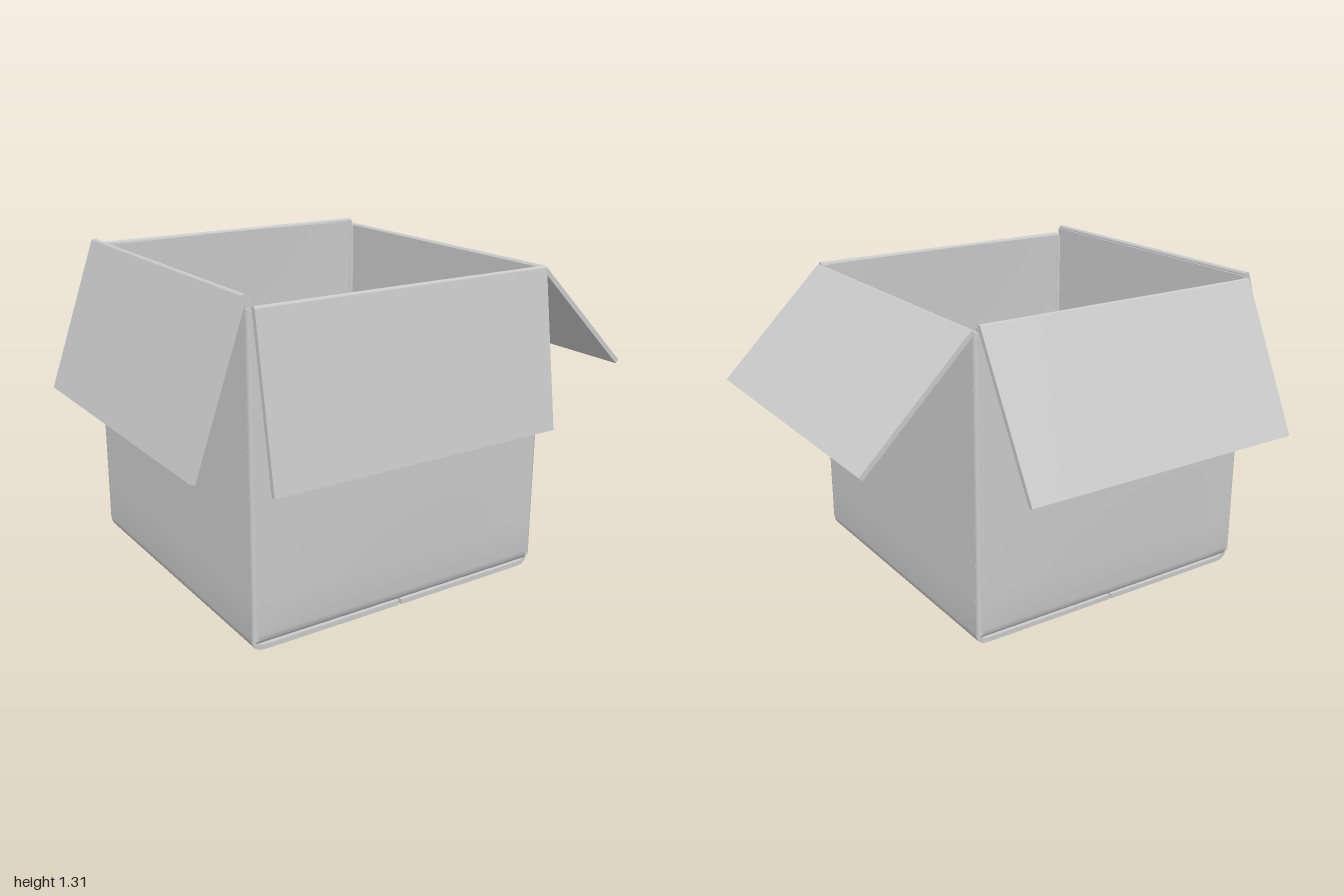
import * as THREE from 'three';
import { toCreasedNormals } from 'three/addons/utils/BufferGeometryUtils.js';

const T = 0.02; // board thickness
const HALF = 0.65; // box centre to middle of a wall
const material = new THREE.MeshStandardMaterial({ color: 0xcccccc });

function addMesh(parent, name, geometry) {
  const mesh = new THREE.Mesh(geometry, material);
  mesh.name = name;
  parent.add(mesh);
  return mesh;
}

// Board that follows a centreline of [outward, up] points, extruded to a width.
function board(points, halfWidth, bend) {
  const path = points.map(([u, y]) => new THREE.Vector2(u, y));
  const offset = (side) => path.map((p, i) => {
    const a = path[Math.max(i - 1, 0)];
    const b = path[Math.min(i + 1, path.length - 1)];
    const d = b.clone().sub(a).normalize();
    return new THREE.Vector2(p.x - d.y * side, p.y + d.x * side);
  });
  const outline = [...offset(T / 2), ...offset(-T / 2).reverse()];
  const geometry = new THREE.ExtrudeGeometry(new THREE.Shape(outline), {
    depth: 2 * halfWidth, steps: 10, bevelEnabled: false,
  });
  geometry.translate(0, 0, -halfWidth);
  const pos = geometry.attributes.position;
  const v = new THREE.Vector3();
  for (let i = 0; i < pos.count; i++) {
    bend(v.fromBufferAttribute(pos, i));
    pos.setXYZ(i, v.x, v.y, v.z);
  }
  return toCreasedNormals(geometry, 0.6);
}

// One side: wall with folded floor panel, hinge crease and open top flap.
function makeSide(s) {
  const side = new THREE.Group();
  side.name = s.name + 'Side';
  side.rotation.y = s.turn;

  const points = [[0.005, s.floor], [0.6, s.floor]];
  for (let i = 1; i <= 4; i++) { // rounded fold at the floor
    const a = (i / 4) * Math.PI / 2;
    points.push([HALF - 0.035 + 0.035 * Math.sin(a), s.floor + 0.04 * (1 - Math.cos(a))]);
  }
  for (let i = 1; i <= 8; i++) {
    points.push([HALF, 0.07 + (s.top - 0.07) * i / 8]);
  }
  addMesh(side, s.name + 'WallAndFloor', board(points, 0.643, (v) => {
    const across = Math.cos(v.z / 0.643 * Math.PI / 2);
    if (v.x > 0.62) v.x += s.bulge * across * Math.sin(Math.PI * Math.min(1, v.y / s.top));
    if (v.y > 1) v.y += s.bow * across;
  }));

  // Flap, slightly narrower at its free edge
  const [hu, hy] = s.hinge;
  addMesh(side, s.name + 'Flap', board([s.hinge, s.end], s.flapHalf, (v) => {
    const t = (hy - v.y) / (hy - s.end[1]);
    v.z *= 1 - s.taper * t;
  }));
  const hinge = addMesh(side, s.name + 'Hinge',
    new THREE.CylinderGeometry(0.012, 0.012, 2 * s.flapHalf, 10));
  hinge.rotation.x = Math.PI / 2;
  hinge.position.set(hu - 0.002, hy - 0.002, 0);
  return side;
}

export function createModel() {
  const model = new THREE.Group();
  model.name = 'openBox';
  const box = new THREE.Group();
  box.name = 'box';
  box.position.set(-0.12, 0, 0.1);
  model.add(box);

  const sides = [
    { name: 'left', turn: 0, floor: 0.01, top: 1.26, bulge: 0, bow: 0,
      hinge: [0.66, 1.257], end: [1.112, 0.812], flapHalf: 0.645, taper: 0 },
    { name: 'right', turn: Math.PI, floor: 0.01, top: 1.295, bulge: 0, bow: 0,
      hinge: [0.662, 1.3], end: [0.87, 0.695], flapHalf: 0.645, taper: 0 },
    { name: 'front', turn: -Math.PI / 2, floor: 0.03, top: 1.262, bulge: 0.012, bow: 0.004,
      hinge: [0.667, 1.262], end: [0.765, 0.635], flapHalf: 0.642, taper: 0.012 },
    { name: 'back', turn: Math.PI / 2, floor: 0.03, top: 1.275, bulge: 0.012, bow: 0.008,
      hinge: [0.665, 1.28], end: [0.965, 0.7], flapHalf: 0.645, taper: 0.025 },
  ];
  sides.forEach((s) => box.add(makeSide(s)));

  // Rounded upright corner folds
  for (const x of [-1, 1]) {
    for (const z of [-1, 1]) {
      const corner = addMesh(box, 'cornerFold', new THREE.CylinderGeometry(0.016, 0.016, 1.21, 12));
      corner.position.set(x * 0.644, 0.655, z * 0.644);
    }
  }
  return model;
}
